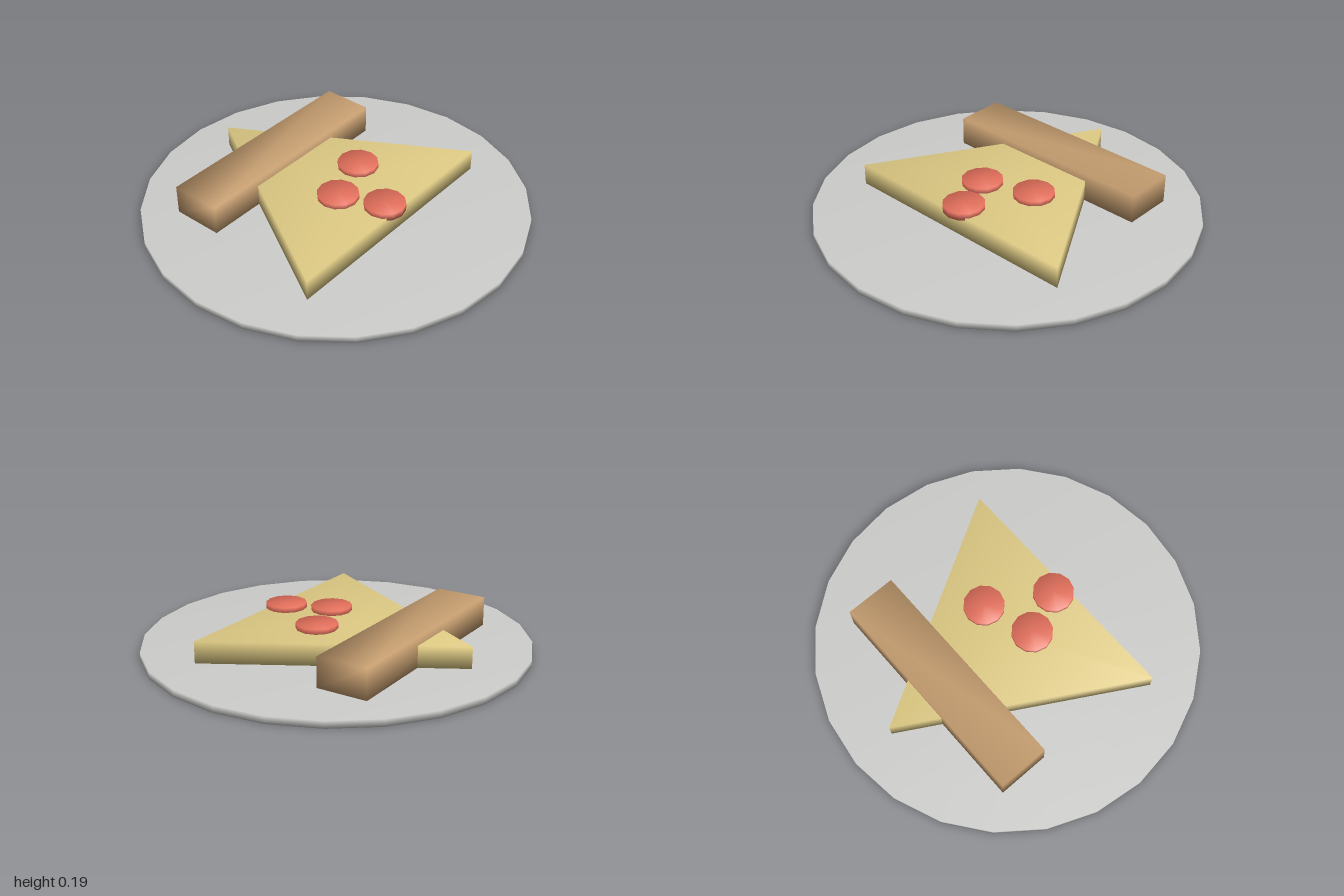
import * as THREE from 'three';
import { mergeVertices } from 'three/addons/utils/BufferGeometryUtils.js';

const material = (name, color) => {
  const m = new THREE.MeshStandardMaterial({ color });
  m.name = name;
  return m;
};

// Weld all corners so the shading runs smoothly over the edges
function smooth(geometry) {
  geometry.deleteAttribute('normal');
  geometry.deleteAttribute('uv');
  const welded = mergeVertices(geometry, 1e-4);
  welded.computeVertexNormals();
  return welded;
}

function part(name, geometry, mat, x, y, z) {
  const mesh = new THREE.Mesh(smooth(geometry), mat);
  mesh.name = name;
  mesh.position.set(x, y, z);
  return mesh;
}

// Upright prism standing between two heights, with a corner at the back
function disc(name, radius, sides, bottom, top, mat, x = 0, z = 0) {
  const geometry = new THREE.CylinderGeometry(radius, radius, top - bottom, sides, 1, false, Math.PI);
  return part(name, geometry, mat, x, (bottom + top) / 2, z);
}

export function createModel() {
  const group = new THREE.Group();
  group.name = 'pizzaSliceOnPlate';
  const plateGrey = material('plateGrey', 0xcdcdcb);
  const cheeseYellow = material('cheeseYellow', 0xdfcb85);
  const crustBrown = material('crustBrown', 0xc69e70);
  const pepperoniRed = material('pepperoniRed', 0xe26f5b);

  // Plate and triangular slice
  group.add(disc('plate', 1, 24, 0, 0.037, plateGrey));
  group.add(disc('cheeseSlice', 0.77, 3, 0.037, 0.15, cheeseYellow));

  // Crust bar lying across the slice
  group.add(part('crust', new THREE.BoxGeometry(1.185, 0.155, 0.27), crustBrown, 0, 0.1145, -0.41));

  // Pepperoni
  [[-0.09, 0.09], [0.18, 0], [0, 0.315]].forEach(([x, z]) =>
    group.add(disc('pepperoni', 0.107, 12, 0.138, 0.176, pepperoniRed, x, z)));

  return group;
}
